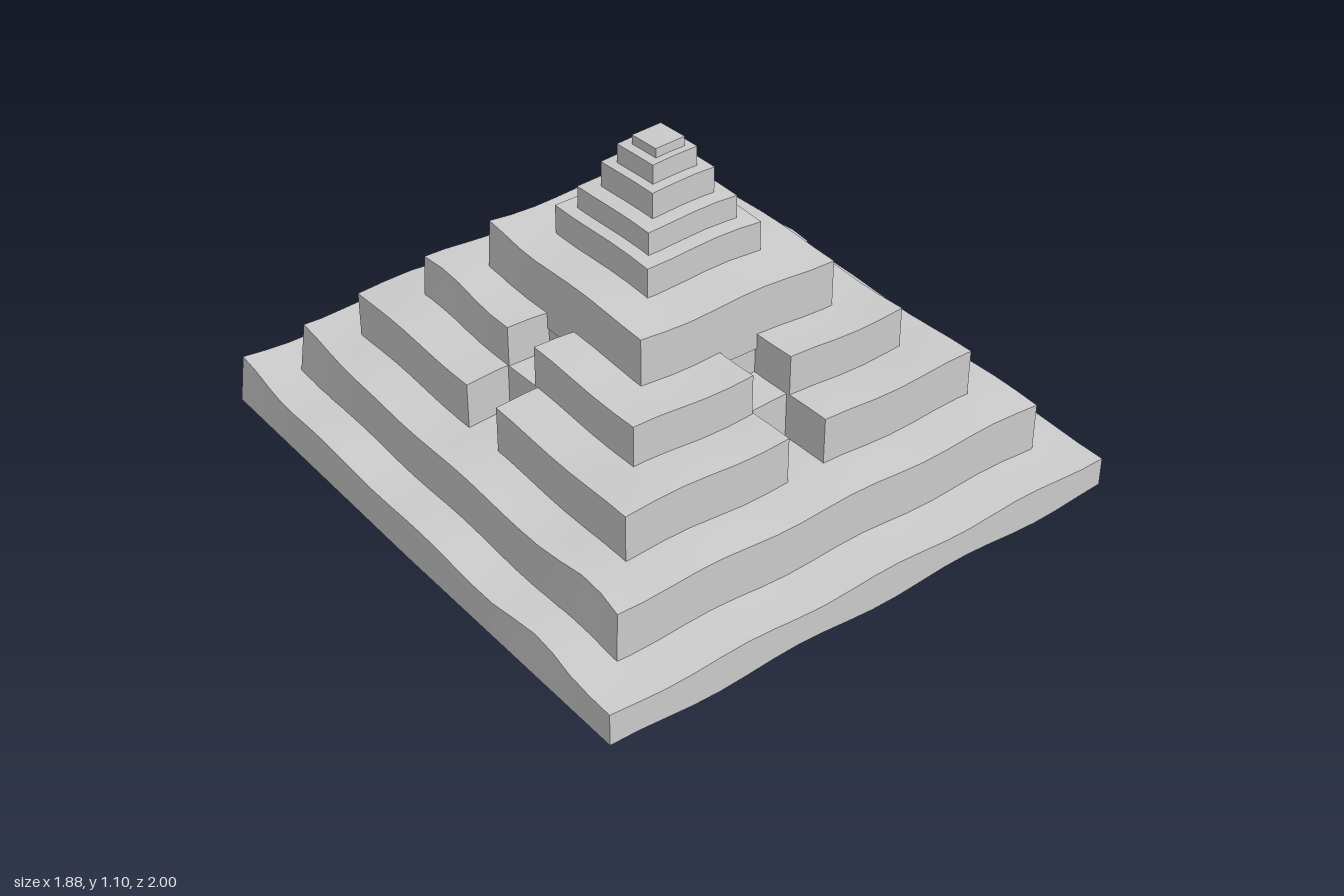
import * as THREE from 'three';

const material = new THREE.MeshStandardMaterial({ color: 0xcccccc, side: THREE.DoubleSide });

// Gentle unevenness of the worn stone, tipping slightly up towards the back
const wave = (x, z) =>
  0.007 * Math.cos((x - 0.05) * 12) + 0.005 * Math.cos((z - 0.1) * 11) - 0.012 * z;

// Smooth hump from 0 to 1 around a centre
const bump = (v, centre, half) => {
  const t = Math.min(1, Math.abs(v - centre) / half);
  return 1 - t * t * (3 - 2 * t);
};

// A block from [x0, x1, z0, z1]; shove(x, z) moves its top edge sideways
function block(name, [x0, x1, z0, z1], y0, y1, shove = () => [0, 0]) {
  const w = x1 - x0, d = z1 - z0;
  const seg = (s) => Math.max(1, Math.round(s / 0.09));
  const geo = new THREE.BoxGeometry(w, y1 - y0, d, seg(w), 1, seg(d));
  geo.translate((x0 + x1) / 2, (y0 + y1) / 2, (z0 + z1) / 2);
  const p = geo.attributes.position;
  for (let i = 0; i < p.count; i++) {
    const x = p.getX(i), z = p.getZ(i), top = p.getY(i) > (y0 + y1) / 2;
    if (top) {
      const [dx, dz] = shove(x, z);
      p.setXYZ(i, x + dx, y1 + wave(x, z), z + dz);
    } else if (y0 === 0) {
      // underside lifts a little along the front
      p.setY(i, Math.max(0, 0.018 * z * Math.sin((x + 0.6) * 5.1) ** 2));
    }
  }
  geo.computeVertexNormals();
  const mesh = new THREE.Mesh(geo, material);
  mesh.name = name;
  return mesh;
}

// Worn edges: [axis, edge position, centre along edge, half width, amount]
const shover = (dents) => (x, z) => {
  const out = [0, 0];
  for (const [axis, edge, centre, half, amount] of dents) {
    const [across, along] = axis === 'x' ? [x, z] : [z, x];
    if (Math.abs(across - edge) < 0.005) out[axis === 'x' ? 0 : 1] += amount * bump(along, centre, half);
  }
  return out;
};

// Tier with a passage cut into the middle of each side: core plus four corners
function notchedTier(name, outer, core, gapX, gapZ, y0, y1, dents) {
  const tier = new THREE.Group();
  tier.name = name;
  const [x0, x1, z0, z1] = outer;
  const shove = shover(dents);
  tier.add(block(name + 'Core', core, y0, y1 - 0.002));
  for (const [sx, xs] of [['Right', [x0, gapX[0]]], ['Left', [gapX[1], x1]]])
    for (const [sz, zs] of [['Back', [z0, gapZ[0]]], ['Front', [gapZ[1], z1]]])
      tier.add(block(name + 'Corner' + sz + sx, [...xs, ...zs], y0, y1, shove));
  return tier;
}

export function createModel() {
  const pyramid = new THREE.Group();
  pyramid.name = 'steppedPyramid';

  // Two wide base tiers
  pyramid.add(block('baseTier', [-0.94, 0.9, -1, 1], 0, 0.135, shover([
    ['x', 0.9, -0.48, 0.28, 0.038],
    ['x', -0.94, -1, 0.35, 0.022],
    ['x', -0.94, 0.65, 0.22, 0.018],
  ])));
  pyramid.add(block('secondTier', [-0.8, 0.762, -0.848, 0.842], 0.1, 0.297, shover([
    ['x', -0.8, -0.85, 0.38, 0.03],
    ['x', -0.8, 0.7, 0.2, 0.02],
  ])));

  // Two tiers split by the cross-shaped passages
  pyramid.add(notchedTier('thirdTier', [-0.655, 0.62, -0.69, 0.69], [-0.51, 0.478, -0.505, 0.52],
    [-0.083, 0.05], [-0.08, 0.072], 0.25, 0.45, [
      ['x', 0.62, -0.16, 0.22, 0.034],
      ['z', -0.69, 0.35, 0.24, -0.028],
    ]));
  pyramid.add(notchedTier('fourthTier', [-0.51, 0.478, -0.54, 0.533], [-0.365, 0.33, -0.38, 0.375],
    [-0.088, 0.05], [-0.075, 0.06], 0.4, 0.583, [
      ['x', -0.51, -0.42, 0.3, 0.018],
      ['x', 0.478, -0.54, 0.12, 0.035],
      ['z', -0.54, -0.09, 0.2, -0.02],
      ['z', -0.54, 0.05, 0.2, -0.02],
      // passage walls lean apart at the back and left
      ['x', -0.088, -0.5, 0.3, -0.032],
      ['x', 0.05, -0.5, 0.3, 0.036],
      ['z', -0.075, 0.46, 0.18, -0.03],
      ['z', 0.06, 0.46, 0.18, 0.025],
    ]));

  // Tall middle tier
  pyramid.add(block('fifthTier', [-0.37, 0.337, -0.385, 0.382], 0.53, 0.738, shover([
    ['x', -0.37, -0.38, 0.25, 0.012],
  ])));

  // Small upper tiers: [x0, x1, z0, z1], bottom, top
  const upper = [
    [[-0.225, 0.19, -0.23, 0.222], 0.69, 0.835],
    [[-0.182, 0.14, -0.175, 0.17], 0.8, 0.91],
    [[-0.13, 0.095, -0.127, 0.12], 0.88, 0.993],
    [[-0.1, 0.06, -0.088, 0.083], 0.96, 1.055],
    [[-0.07, 0.034, -0.055, 0.058], 1.03, 1.085],
  ];
  upper.forEach(([box, y0, y1], i) => pyramid.add(block('upperTier' + (i + 1), box, y0, y1)));

  return pyramid;
}
